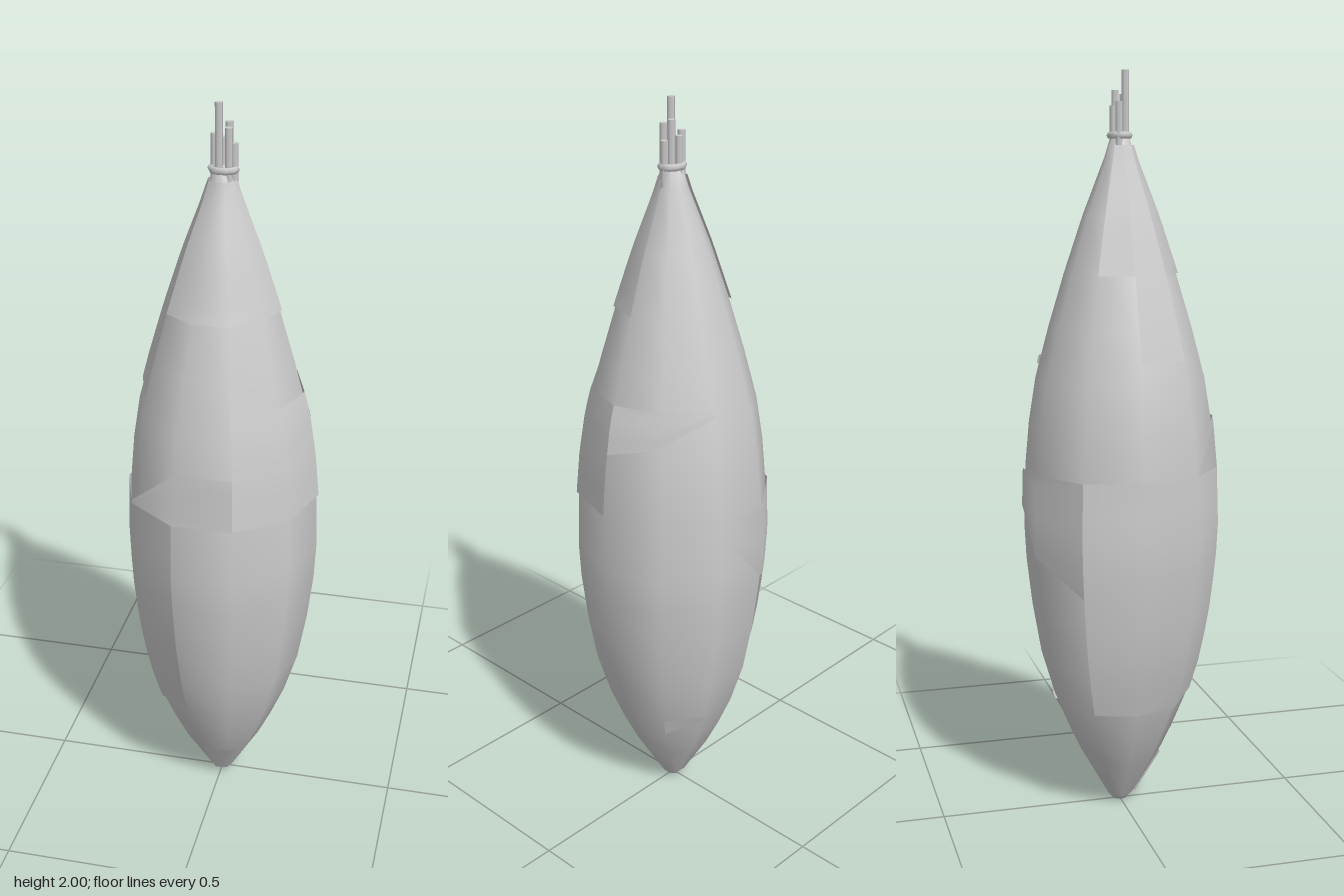
import * as THREE from 'three';

const SIDES = 10;
// Cocoon profile: [radius, height]
const PROFILE = [
  [0, 0], [0.02, 0.003], [0.036, 0.02], [0.107, 0.14], [0.145, 0.22], [0.182, 0.31], [0.218, 0.43],
  [0.242, 0.57], [0.257, 0.7], [0.262, 0.8], [0.257, 0.96], [0.246, 1.08], [0.227, 1.2],
  [0.19, 1.34], [0.148, 1.48], [0.098, 1.63], [0.04, 1.78], [0.022, 1.84], [0, 1.845],
];

function radiusAt(y) {
  let i = 1;
  while (i < PROFILE.length - 1 && PROFILE[i][1] < y) i++;
  const [r0, y0] = PROFILE[i - 1];
  const [r1, y1] = PROFILE[i];
  return r0 + (r1 - r0) * (y - y0) / (y1 - y0);
}

// Raised leaf layer; each column is [side index, bottom, top]
function leafGeometry(columns, lift) {
  const rows = 8;
  const pos = [];
  const index = [];
  columns.forEach(([side, low, high], c) => {
    const a = side * 2 * Math.PI / SIDES;
    for (let j = 0; j <= rows; j++) {
      const y = low + (high - low) * j / rows;
      const r = radiusAt(y) + lift;
      pos.push(r * Math.cos(a), y, r * Math.sin(a));
      if (c < columns.length - 1 && j < rows) {
        const p = c * (rows + 1) + j;
        const q = p + rows + 1;
        index.push(p, p + 1, q, p + 1, q + 1, q);
      }
    }
  });
  const g = new THREE.BufferGeometry();
  g.setAttribute('position', new THREE.Float32BufferAttribute(pos, 3));
  g.setIndex(index);
  g.computeVertexNormals();
  return g;
}

export function createModel() {
  const model = new THREE.Group();
  model.name = 'cocoon';
  const material = new THREE.MeshStandardMaterial({ color: 0xcccccc });
  const thin = new THREE.MeshStandardMaterial({ color: 0xcccccc, side: THREE.DoubleSide });
  const add = (name, geometry, mat = material) => {
    const mesh = new THREE.Mesh(geometry, mat);
    mesh.name = name;
    model.add(mesh);
    return mesh;
  };

  // Ten-sided body with corners on the x axis
  const body = new THREE.LatheGeometry(PROFILE.map(([r, y]) => new THREE.Vector2(r, y)), SIDES);
  add('body', body.rotateY(Math.PI / 2));

  // Overlapping wrapped leaves with stepped edges
  const leaves = {
    lowerSideLeaf: [[3, 0.33, 0.96], [4, 0.31, 0.96], [5, 0.31, 0.96], [6, 0.31, 0.96]],
    lowerBackLeaf: [[6, 0.65, 0.96], [7, 0.74, 0.96], [7.7, 0.86, 0.96]],
    middleFrontLeaf: [[0, 0.96, 1.26], [1, 0.96, 1.26], [2, 0.96, 1.33]],
    middleFrontFlap: [[2, 0.96, 1.1], [3, 0.96, 1.1], [4, 0.95, 0.97]],
    middleBackFlap: [[-2, 1.24, 1.26], [-1, 1.17, 1.26], [0, 1.13, 1.26]],
    upperFrontLeaf: [[0, 1.48, 1.81], [1, 1.48, 1.81], [2, 1.48, 1.81], [3, 1.48, 1.81], [4, 1.48, 1.81]],
    upperSideLeaf: [[4, 1.26, 1.81], [5, 1.26, 1.81]],
    upperBackLeaf: [[5, 1.48, 1.81], [6, 1.48, 1.81]],
    bottomLeaf: [[1.5, 0.02, 0.14], [2, 0.02, 0.14], [3, 0.02, 0.14]],
    smallBackLeaf: [[8, 0.29, 0.31], [9, 0.25, 0.31]],
  };
  for (const [name, columns] of Object.entries(leaves)) add(name, leafGeometry(columns, 0.006), thin);

  // Bundle of stems: [x, z, top]
  const stems = [
    [-0.023, -0.008, 1.92], [-0.004, -0.018, 1.91], [0.014, -0.009, 1.95],
    [0.029, 0, 1.9], [-0.007, 0.013, 2], [0.018, 0.014, 1.94],
  ];
  for (const [x, z, top] of stems) {
    const h = top - 1.77;
    add('stem', new THREE.CylinderGeometry(0.01, 0.01, h, 6)).position.set(x, 1.77 + h / 2, z);
  }

  // Cord tied around the stems
  const tie = add('tie', new THREE.TorusGeometry(0.029, 0.008, 6, 10).rotateX(Math.PI / 2));
  tie.position.set(0.002, 1.835, 0);
  tie.scale.set(1.1, 1.2, 0.9);
  return model;
}
